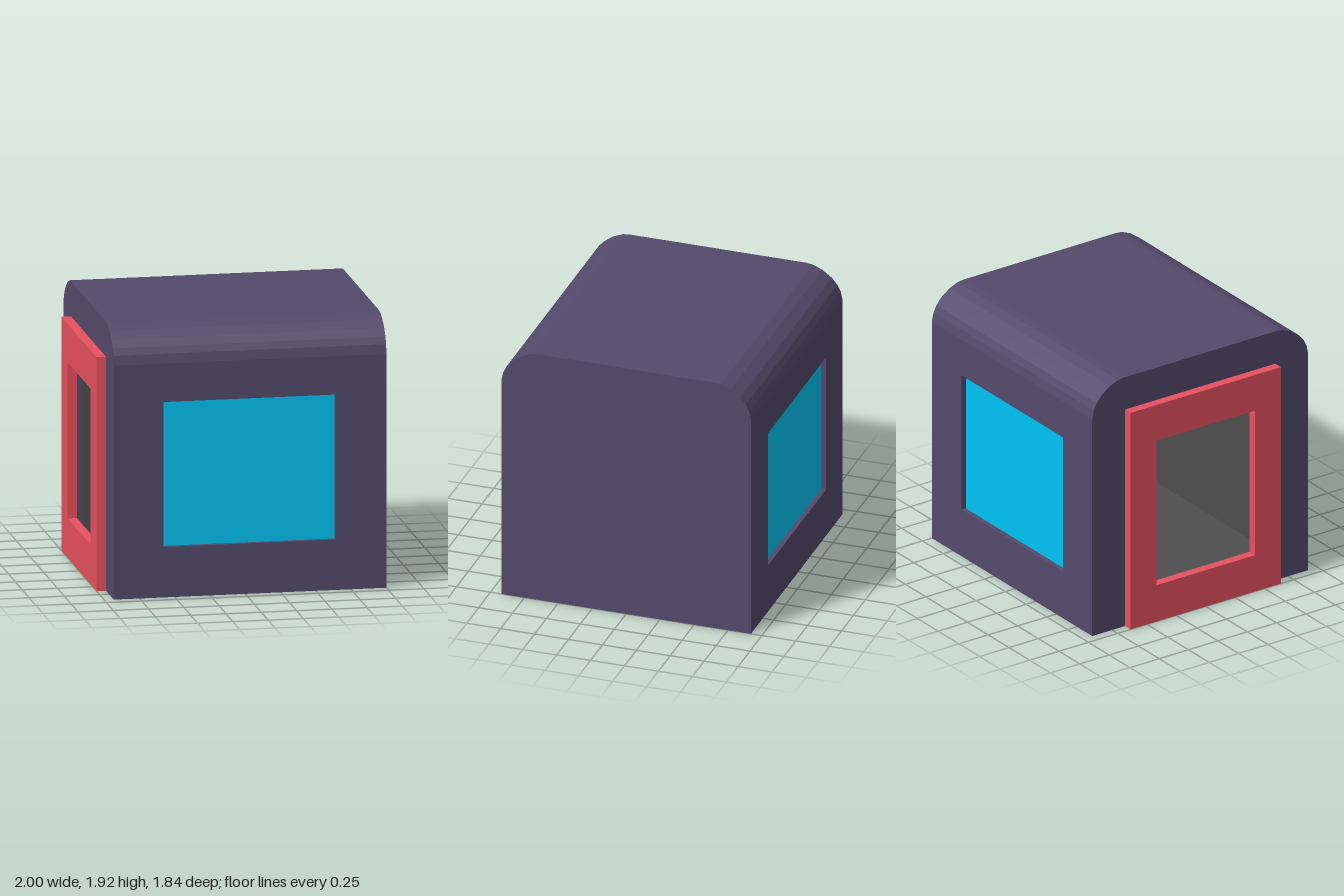
import * as THREE from 'three';

const PURPLE = 0x544a6c, RED = 0xe8505f, CYAN = 0x00c4f5, GREY = 0x4e4e4e;
const X0 = -0.933, X1 = 1, T = 0.06, SPRING = 1.67;

// Rounded corner, as offsets from its centre at z 0.65, y SPRING
const CORNER = [
  [0.27, 0], [0.256, 0.066], [0.232, 0.115], [0.19, 0.165], [0.12, 0.215], [0.05, 0.244], [0, 0.25],
];

const material = (color) => new THREE.MeshStandardMaterial({ color, flatShading: true });

// Points along the rounded roof, from +z to -z
function roofPoints(inset) {
  const kz = 1 - inset / 0.27, ky = 1 - inset / 0.25;
  const half = CORNER.map(([z, y]) => new THREE.Vector2(0.65 + z * kz, SPRING + y * ky));
  const mirrored = half.map((p) => new THREE.Vector2(-p.x, p.y)).reverse();
  return [...half, ...mirrored];
}

// Full end outline: straight sides under the rounded roof
function archPoints(inset, bottom) {
  const half = 0.92 - inset;
  return [new THREE.Vector2(half, bottom), ...roofPoints(inset), new THREE.Vector2(-half, bottom)];
}

function rectPoints(x0, x1, y0, y1) {
  return [[x0, y0], [x1, y0], [x1, y1], [x0, y1]].map(([x, y]) => new THREE.Vector2(x, y));
}

function framed(outer, hole) {
  const shape = new THREE.Shape(outer);
  shape.holes.push(new THREE.Path(hole));
  return shape;
}

const extrude = (shape, depth) =>
  new THREE.ExtrudeGeometry(shape, { depth, bevelEnabled: false });

// Extrude a z-y outline along x, from xa to xb
const extrudeX = (shape, xa, xb) =>
  extrude(shape, xb - xa).rotateY(Math.PI / 2).translate(xa, 0, 0);

export function createModel() {
  const group = new THREE.Group();
  const purple = material(PURPLE), red = material(RED), cyan = material(CYAN), grey = material(GREY);
  const add = (name, geometry, mat) => {
    const mesh = new THREE.Mesh(geometry, mat);
    mesh.name = name;
    group.add(mesh);
  };

  // End walls; the doorway cut is hidden behind the door frame
  add('closedEndWall', extrudeX(new THREE.Shape(archPoints(0, 0)), X1 - T, X1), purple);
  const doorWall = framed(archPoints(0, 0), rectPoints(-0.55, 0.55, 0.15, 1.55));
  add('doorEndWall', extrudeX(doorWall, X0, X0 + T), purple);

  // Roof shell with rounded edges
  const roof = new THREE.Shape([...roofPoints(0), ...roofPoints(T).reverse()]);
  add('roof', extrudeX(roof, X0 + T, X1 - T), purple);

  // Floor
  const floor = new THREE.BoxGeometry(X1 - X0 - 2 * T, 0.01, 1.72);
  add('floor', floor.translate((X0 + X1) / 2, 0.005, 0), purple);

  // Front and back walls with recessed windows
  const wallShape = framed(
    rectPoints(X0 + T, X1 - T, 0, SPRING), rectPoints(-0.58, 0.64, 0.36, 1.395));
  for (const [side, s] of [['front', 1], ['back', -1]]) {
    const wall = extrude(wallShape, T).translate(0, 0, s * (0.92 - T / 2) - T / 2);
    add(side + 'Wall', wall, purple);
    const pane = new THREE.BoxGeometry(1.22, 1.035, 0.02);
    add(side + 'Window', pane.translate(0.03, 0.8775, s * 0.875), cyan);
  }

  // Interior lining: a thin sleeve, open towards the doorway, with a far end panel
  const sleeve = framed(archPoints(T + 0.002, 0.012), archPoints(T + 0.01, 0.022));
  add('interiorLining', extrudeX(sleeve, X0 + 0.002, X1 - T - 0.012), grey);
  const endPanel = new THREE.Shape(archPoints(T + 0.002, 0.012));
  add('interiorEndPanel', extrudeX(endPanel, X1 - T - 0.012, X1 - T - 0.002), grey);

  // Door frame
  const door = framed(rectPoints(-0.64, 0.64, 0, SPRING), rectPoints(-0.42, 0.42, 0.28, 1.395));
  add('doorFrame', extrudeX(door, -1, X0), red);

  return group;
}
